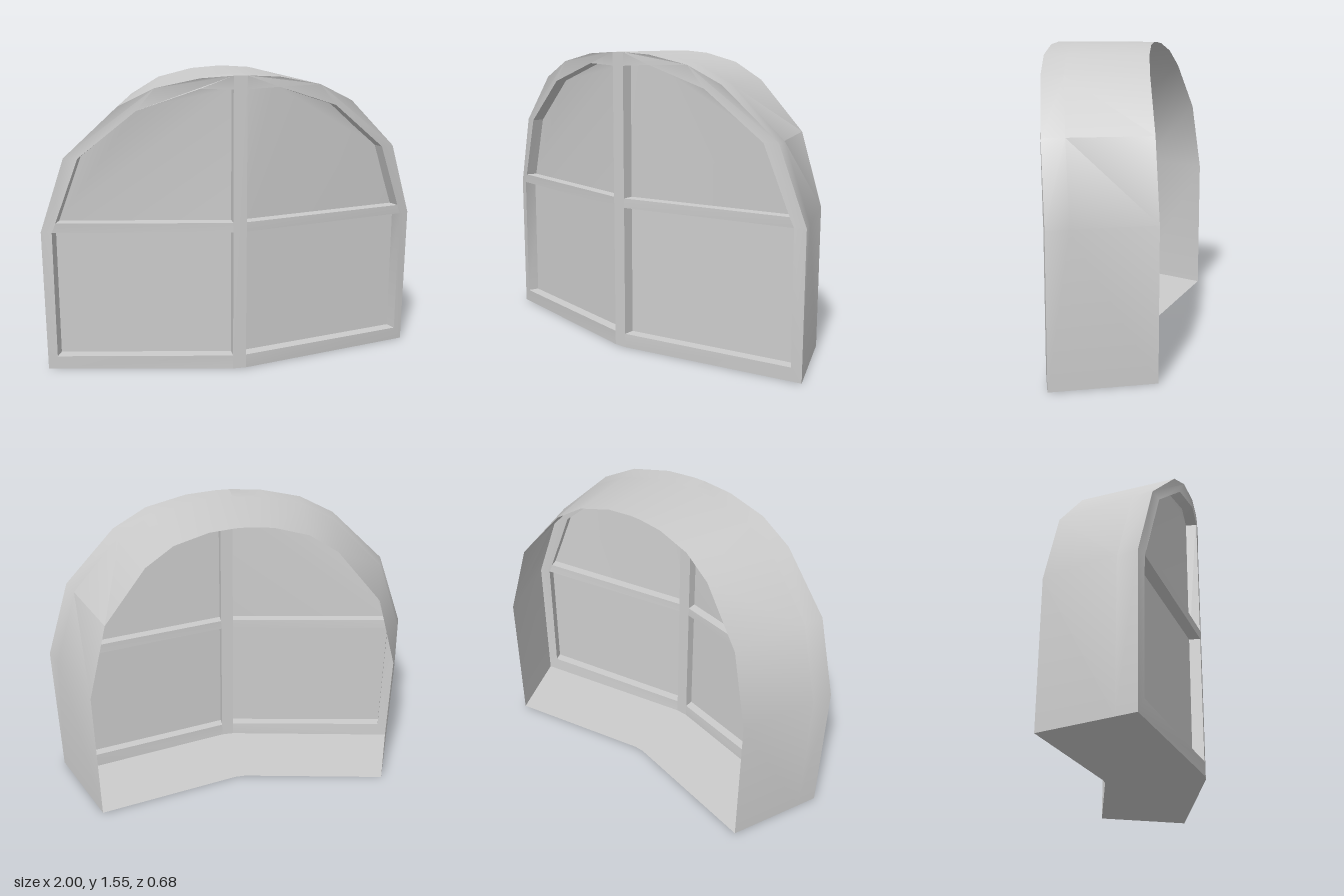
import * as THREE from 'three';
import { toCreasedNormals } from 'three/addons/utils/BufferGeometryUtils.js';

const R = 2.6;        // radius of the curved front
const DEPTH = 0.52;   // front to back of the surround
const FRAME = 0.11;   // thickness of the sash frame
const GLASS = 0.06;   // how far the panes sit behind the front
const M = 0.035;      // half width of the mullion

// Outer arch, from the foot up to the crown, and the two openings (right-hand half)
const arch = [[1, 0], [1, 0.76], [0.87, 1.15], [0.6, 1.41], [0.42, 1.5], [0.2, 1.545], [M, 1.555]];
const lowerPane = [[M, 0.075], [0.95, 0.075], [0.945, 0.76], [M, 0.76]];
const upperPane = [[M, 0.81], [0.925, 0.81], [0.8, 1.15], [0.51, 1.39], [0.2, 1.495], [M, 1.487]];

// Places a flat front point at a given depth on the curved wall
function bendPoint(x, y, depth) {
  const a = Math.asin(x / R), r = R - depth;
  return [r * Math.sin(a), y, r * Math.cos(a) - 2.26];
}

// Moves every vertex; z = front is the level of the outer face
function bend(geometry, front) {
  const p = geometry.attributes.position;
  for (let i = 0; i < p.count; i++) p.setXYZ(i, ...bendPoint(p.getX(i), p.getY(i), front - p.getZ(i)));
  geometry.computeVertexNormals();
  return geometry;
}

function shapeOf(points, side) {
  return new THREE.Shape(points.map(([x, y]) => new THREE.Vector2(x * side, y)));
}

export function createModel() {
  const group = new THREE.Group();
  const solid = new THREE.MeshStandardMaterial({ color: 0xcccccc });
  const thin = new THREE.MeshStandardMaterial({ color: 0xcccccc, side: THREE.DoubleSide });

  function add(name, geometry, material) {
    const mesh = new THREE.Mesh(geometry, material);
    mesh.name = name;
    group.add(mesh);
  }
  function addBar(name, points, side) {
    const g = new THREE.ExtrudeGeometry(shapeOf(points, side), { depth: FRAME, bevelEnabled: false });
    add(name, toCreasedNormals(bend(g, FRAME), 0.5), solid);
  }
  function addPane(name, points, side) {
    add(name, bend(new THREE.ShapeGeometry(shapeOf(points, side)), -GLASS + 2 * GLASS), thin);
  }

  // Frame, crossbar and panes on each side of the mullion
  const rim = [[M, 0], ...arch,
    ...upperPane.slice(1).reverse(), [0.945, 0.76], [0.95, 0.075], [M, 0.075]];
  const crossbar = [[M, 0.76], [0.945, 0.76], [0.925, 0.81], [M, 0.81]];
  for (const [label, side] of [['left', 1], ['right', -1]]) {
    addBar(label + 'Frame', rim, side);
    addBar(label + 'Crossbar', crossbar, side);
    addPane(label + 'LowerPane', lowerPane, side);
    addPane(label + 'UpperPane', upperPane, side);
  }

  // Mullion down the middle
  addBar('mullion', [[-M, 0], [M, 0], [M, 1.555], [-M, 1.555]], 1);

  // Thin tapering surround behind the frame, a closed loop open at the back
  const loop = [[M, 0], ...arch, ...arch.map(([x, y]) => [-x, y]).reverse(), [-M, 0]];
  const positions = [];
  loop.forEach(([x, y], i) => {
    const [nx, ny] = loop[(i + 1) % loop.length];
    const a = bendPoint(x, y, FRAME), b = bendPoint(nx, ny, FRAME);
    const c = bendPoint(nx, ny, DEPTH), d = bendPoint(x, y, DEPTH);
    positions.push(...a, ...b, ...d, ...b, ...c, ...d);
  });
  // Counter-clockwise loop seen from the front: reverse each triangle to face outwards
  for (let i = 0; i < positions.length; i += 9) {
    const second = positions.slice(i + 3, i + 6), third = positions.slice(i + 6, i + 9);
    positions.splice(i + 3, 6, ...third, ...second);
  }
  const surround = new THREE.BufferGeometry();
  surround.setAttribute('position', new THREE.Float32BufferAttribute(positions, 3));
  add('surround', toCreasedNormals(surround, 0.5), thin);

  return group;
}
